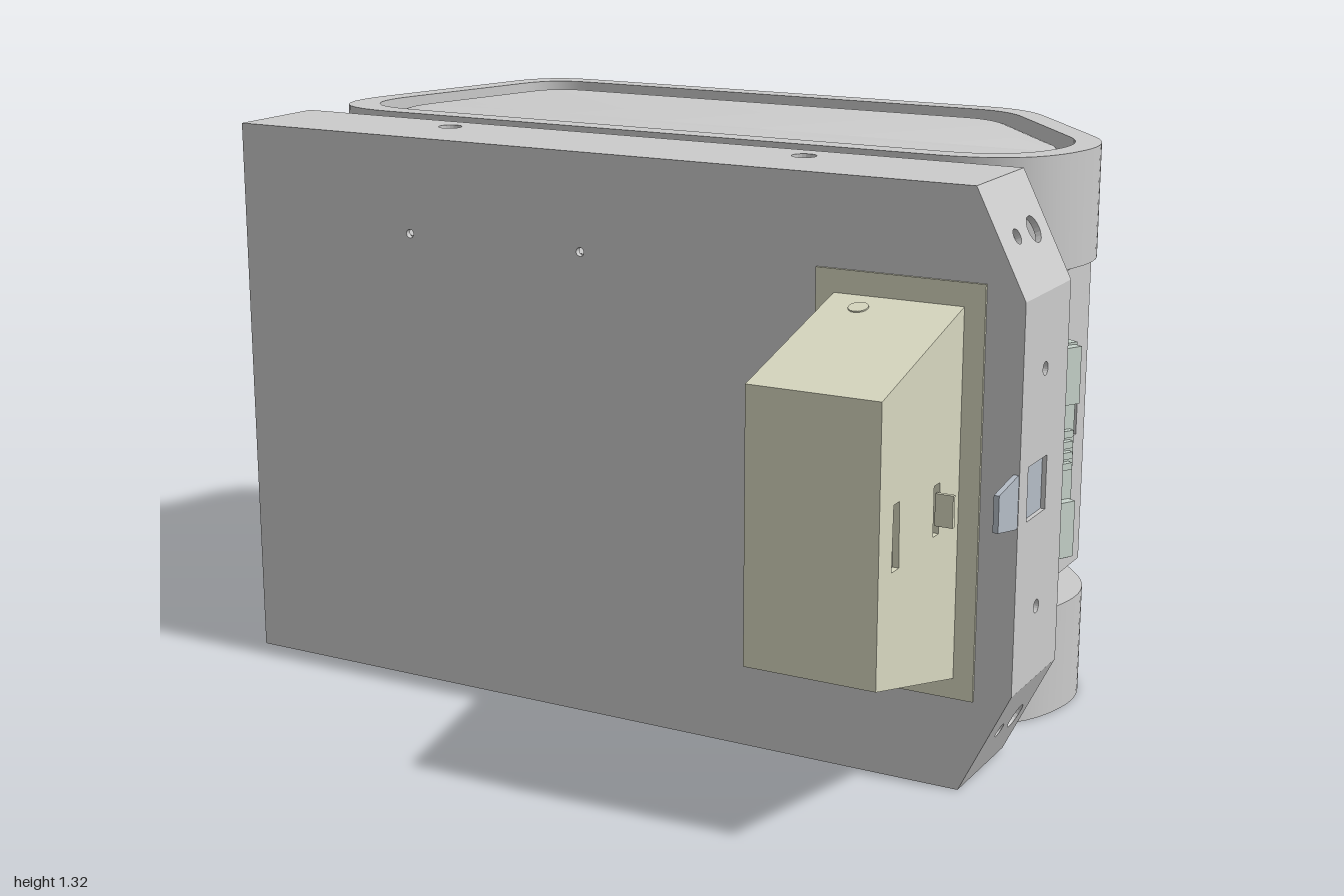
import * as THREE from 'three';
import { toCreasedNormals } from 'three/addons/utils/BufferGeometryUtils.js';

const mat = (color) => new THREE.MeshStandardMaterial({ color });
const GREY = mat(0xcccccc), CREAM = mat(0xd8d8c0), BLUE = mat(0xb4bcc6), PALE = mat(0xc8d4cc);

function add(parent, name, geometry, material = GREY) {
  const mesh = new THREE.Mesh(geometry, material);
  mesh.name = name;
  parent.add(mesh);
  return mesh;
}
function box(parent, name, x0, x1, y0, y1, z0, z1, material) {
  const m = add(parent, name, new THREE.BoxGeometry(x1 - x0, y1 - y0, z1 - z0), material);
  m.position.set((x0 + x1) / 2, (y0 + y1) / 2, (z0 + z1) / 2);
  return m;
}
const poly = (pts) => new THREE.Shape(pts.map(([x, y]) => new THREE.Vector2(x, y)));
const circle = (x, y, r) => new THREE.Path().absarc(x, y, r, 0, Math.PI * 2);
const rect = (x0, x1, y0, y1) => poly([[x0, y0], [x1, y0], [x1, y1], [x0, y1]]);
const extrude = (shape, depth, opts = {}) =>
  new THREE.ExtrudeGeometry(shape, { depth, bevelEnabled: false, curveSegments: 10, ...opts });
function holed(shape, holes) {
  shape.holes.push(...holes);
  return shape;
}

// Shape drawn in (z, y) and extruded from x0 towards +x
function sidePlate(parent, name, shape, x0, t, material) {
  const g = extrude(shape, t);
  g.applyMatrix4(new THREE.Matrix4().makeBasis(
    new THREE.Vector3(0, 0, -1), new THREE.Vector3(0, 1, 0), new THREE.Vector3(1, 0, 0)));
  g.translate(x0, 0, 0);
  return add(parent, name, g, material);
}

// Move every edge of a counter-clockwise polygon inwards by d
function inset(pts, d) {
  const n = pts.length;
  const edges = pts.map(([x, y], i) => {
    const [x2, y2] = pts[(i + 1) % n], l = Math.hypot(x2 - x, y2 - y);
    const ux = (x2 - x) / l, uy = (y2 - y) / l;
    return { x: x - uy * d, y: y + ux * d, ux, uy };
  });
  return edges.map((b, i) => {
    const a = edges[(i + n - 1) % n];
    const s = ((b.x - a.x) * b.uy - (b.y - a.y) * b.ux) / (a.ux * b.uy - a.uy * b.ux);
    return [a.x + a.ux * s, a.y + a.uy * s];
  });
}
// Polygon with each corner rounded over its own tangent length
function rounded(pts, cuts) {
  const shape = new THREE.Shape(), n = pts.length;
  pts.forEach((p, i) => {
    const toward = (q) => {
      const k = cuts[i] / Math.hypot(q[0] - p[0], q[1] - p[1]);
      return [p[0] + (q[0] - p[0]) * k, p[1] + (q[1] - p[1]) * k];
    };
    const a = toward(pts[(i + n - 1) % n]), b = toward(pts[(i + 1) % n]);
    if (i) shape.lineTo(...a); else shape.moveTo(...a);
    shape.quadraticCurveTo(...p, ...b);
  });
  shape.closePath();
  return shape;
}

export function createModel() {
  const model = new THREE.Group();
  const T = 0.014, Z0 = 0.095, Z1 = 0.36;

  // Front tray: folded sheet with two cut corners
  const tray = new THREE.Group();
  tray.name = 'frontTray';
  model.add(tray);
  const outline = [[-1, 0], [0.88, 0], [0.995, 0.235], [0.995, 1.09], [0.88, 1.32], [-1, 1.32]];
  const panel = add(tray, 'frontPanel', extrude(
    holed(poly(outline), [circle(-0.52, 1.095, 0.01), circle(-0.06, 1.095, 0.01)]), T));
  panel.position.z = Z1 - T;
  // Holes per flange: [distance along the edge, z, radius]
  const flangeHoles = [
    [[0.47, 0.17, 0.028], [1.39, 0.17, 0.028]],
    [[0.13, 0.175, 0.03], [0.13, 0.27, 0.017]],
    [[0.165, 0.23, 0.015], [0.69, 0.23, 0.015]],
    [[0.13, 0.175, 0.03], [0.13, 0.27, 0.017]],
    [[0.48, 0.17, 0.028], [1.41, 0.17, 0.028]],
    [[0.12, 0.18, 0.026], [0.66, 0.18, 0.02], [1.2, 0.18, 0.026]],
  ];
  outline.forEach((p, i) => {
    const q = outline[(i + 1) % outline.length];
    const d = new THREE.Vector3(q[0] - p[0], q[1] - p[1], 0), len = d.length();
    d.normalize();
    const holes = flangeHoles[i].map(([u, z, r]) => circle(u, -z, r));
    if (i === 2) holes.push(rect(0.375, 0.495, -0.31, -0.2));
    const g = extrude(holed(rect(0, len, -Z1, -Z0), holes), T);
    g.applyMatrix4(new THREE.Matrix4().makeBasis(
      d, new THREE.Vector3(0, 0, -1), new THREE.Vector3(-d.y, d.x, 0)));
    g.translate(p[0], p[1], 0);
    add(tray, 'trayFlange', g);
  });
  box(tray, 'windowPlate', 0.975, 0.985, 0.6, 0.74, 0.19, 0.32, BLUE);

  // Latch tab standing forward of the tray edge
  sidePlate(model, 'latchTab',
    poly([[-0.34, 0.61], [-0.37, 0.61], [-0.47, 0.63], [-0.47, 0.71], [-0.37, 0.725], [-0.34, 0.725]]),
    0.982, 0.012, BLUE);

  // Main body between the two pads
  const lay = (shape, depth, y, opts) => {
    const g = extrude(shape, depth, opts);
    g.rotateX(-Math.PI / 2);
    g.translate(0, y, 0);
    return g;
  };
  add(model, 'body', lay(poly([[-1, -0.1], [0.845, -0.1], [0.845, 0.425], [-0.915, 0.425], [-1, 0.2]]),
    0.735, 0.297));
  const slot = poly([[0.275, 0.62], [0.37, 0.62], [0.37, 0.7], [0.35, 0.72], [0.295, 0.72], [0.275, 0.7]]);
  sidePlate(model, 'bodySidePanel',
    holed(rect(-0.1, 0.425, 0.297, 1.032), [circle(0.175, 0.665, 0.044), slot]), 0.845, 0.015);

  // Upper and lower rims with their inset pads; corners are (x, -z)
  const rim = [[-1.06, -0.02], [0.87, -0.02], [0.935, 0.32], [0.56, 0.775], [-0.835, 0.775]];
  const cuts = [0.25, 0.22, 0.12, 0.11, 0.13];
  const scaled = (k) => cuts.map((c) => c * k);
  const half = new THREE.Group();
  half.name = 'upperRimAndPad';
  const ring = holed(rounded(rim, cuts), [rounded(inset(rim, 0.058), scaled(0.82))]);
  add(half, 'rim', toCreasedNormals(lay(ring, 0.262, 1.058), 0.5));
  const pad = rounded(inset(rim, 0.11), scaled(0.68));
  add(half, 'pad', toCreasedNormals(lay(pad, 0.05, 1.235,
    { bevelEnabled: true, bevelSize: 0.02, bevelThickness: 0.02, bevelSegments: 3 }), 0.6));
  model.add(half);
  const lower = half.clone();
  lower.name = 'lowerRimAndPad';
  lower.rotation.x = Math.PI;
  // Turned over, then mirrored in depth so both outlines line up
  lower.scale.z = -1;
  lower.position.y = 1.32;
  model.add(lower);

  // Handle cover: hollow tapered box on a thin backing plate
  const cover = new THREE.Group();
  cover.name = 'handleCover';
  model.add(cover);
  box(cover, 'backingPlate', 0.525, 0.91, 0.21, 1.12, Z1 - 0.002, 0.366, CREAM);
  const profile = [[-0.772, 0.365], [-0.362, 0.255], [-0.362, 1.07], [-0.772, 0.96]];
  sidePlate(cover, 'coverShell', holed(poly(profile), [poly(inset(profile, 0.015))]), 0.58, 0.27, CREAM);
  sidePlate(cover, 'coverInnerSide', poly(profile), 0.568, 0.012, CREAM);
  const key = poly([[-0.708, 0.595], [-0.672, 0.595], [-0.676, 0.735], [-0.704, 0.735]]);
  sidePlate(cover, 'coverOuterSide',
    holed(poly(profile), [key, rect(-0.5, -0.47, 0.61, 0.72)]), 0.85, 0.014, CREAM);
  box(cover, 'latchLever', 0.86, 0.9, 0.63, 0.7, 0.474, 0.484, CREAM);
  // Small vents on the sloping ends
  for (const s of [-1, 1]) {
    const vent = add(cover, 'vent', new THREE.CylinderGeometry(0.022, 0.022, 0.006, 16), CREAM);
    vent.position.set(0.65, 0.6625 + s * 0.392, 0.42);
    vent.rotation.x = s * 0.262;
  }

  // Connector strip on the body side
  const strip = new THREE.Group();
  strip.name = 'connectorStrip';
  model.add(strip);
  box(strip, 'stripBase', 0.858, 0.872, 0.41, 0.92, -0.1, 0, PALE);
  const head = new THREE.Group();
  head.name = 'connectorHead';
  head.position.set(0.922, 0, -0.055);
  head.rotation.y = -0.5;
  strip.add(head);
  box(head, 'headBar', -0.045, 0.02, 0.415, 0.915, -0.035, 0.035, PALE);
  for (const y of [0.49, 0.845]) {
    box(head, 'clip', -0.02, 0.042, y - 0.065, y + 0.065, -0.028, 0.028, PALE);
    box(strip, 'clipFoot', 0.858, 0.895, y - 0.035, y + 0.035, -0.115, -0.08, PALE);
  }
  for (let i = 0; i < 4; i++) {
    const y = 0.635 + i * 0.025;
    box(head, 'contact', 0.01, 0.034, y - 0.008, y + 0.008, -0.022, 0.022, PALE);
  }
  return model;
}
